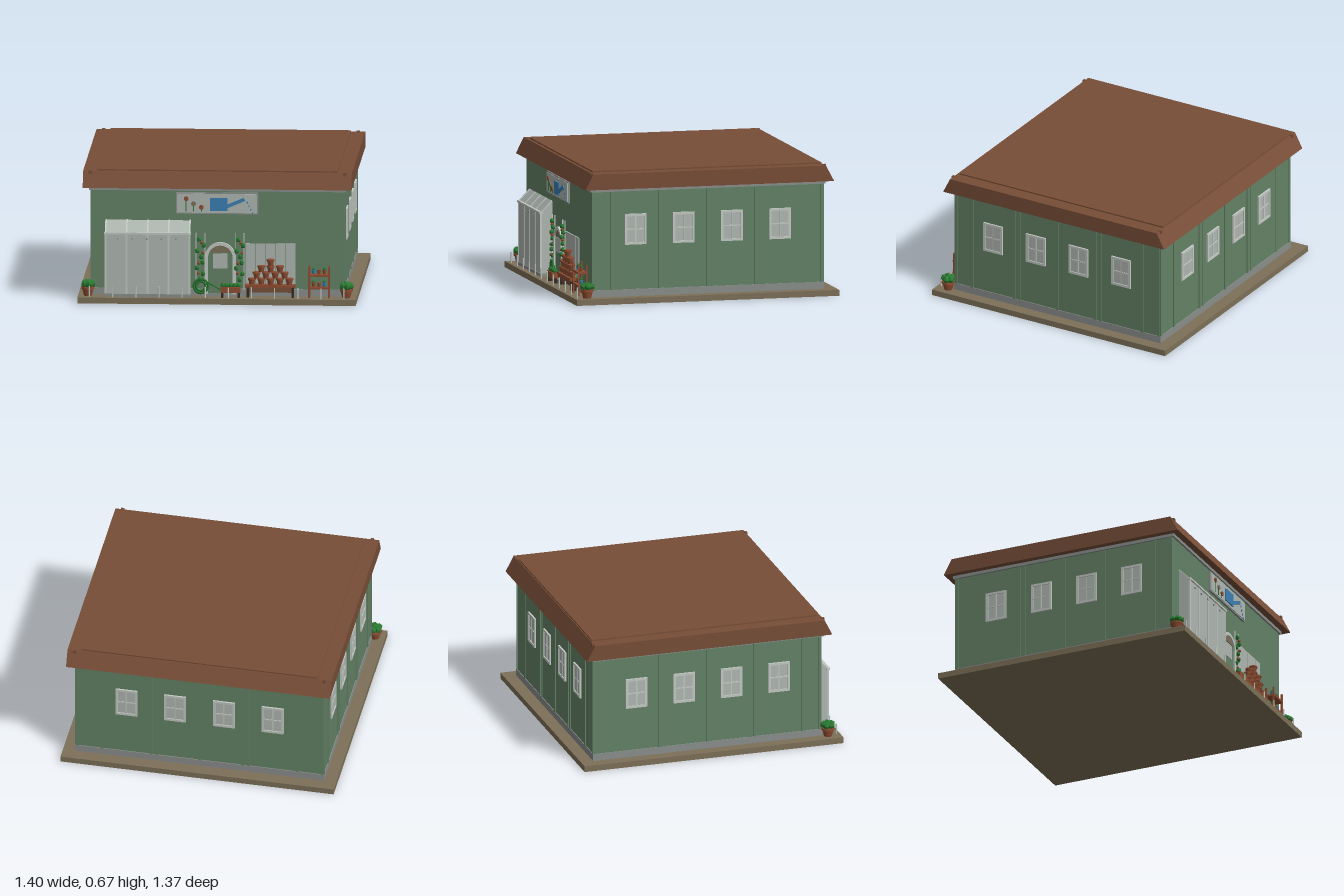
import * as THREE from 'three';

const mat = (name, color, side = THREE.FrontSide) => {
  const m = new THREE.MeshStandardMaterial({ color, side });
  m.name = name;
  return m;
};

export function createModel() {
  const root = new THREE.Group();
  root.name = 'gardenShop';
  const green = mat('wallGreen', 0x648266);
  const brown = mat('roofBrown', 0x784e38);
  const tan = mat('pavingTan', 0x7d7058);
  const pale = mat('paleGlass', 0xb0b8b2);
  const white = mat('whiteTrim', 0xc4cac4);
  const grey = mat('plinthGrey', 0x8a8f8c);
  const leaf = mat('leafGreen', 0x2a7a32);
  const clay = mat('terracotta', 0x8f4e32);
  const blue = mat('canBlue', 0x3a80b4);
  const dark = mat('darkBrown', 0x3a2a20);

  const group = (name, parent = root) => {
    const g = new THREE.Group();
    g.name = name;
    parent.add(g);
    return g;
  };
  const add = (parent, name, geo, m, x = 0, y = 0, z = 0) => {
    const mesh = new THREE.Mesh(geo, m);
    mesh.name = name;
    mesh.position.set(x, y, z);
    parent.add(mesh);
    return mesh;
  };
  // Box given by its limits on each axis
  const box = (parent, name, m, x0, x1, y0, y1, z0, z1) =>
    add(parent, name, new THREE.BoxGeometry(x1 - x0, y1 - y0, z1 - z0), m,
      (x0 + x1) / 2, (y0 + y1) / 2, (z0 + z1) / 2);
  // Extruded profile of [z, y] points running along x
  const prism = (parent, name, m, pts, x0, x1) => {
    const shape = new THREE.Shape(pts.map(([z, y]) => new THREE.Vector2(-z, y)));
    const geo = new THREE.ExtrudeGeometry(shape, { depth: x1 - x0, bevelEnabled: false });
    geo.rotateY(Math.PI / 2);
    return add(parent, name, geo, m, x0, 0, 0);
  };
  const pot = (parent, x, y, z, r, h, m = clay) => {
    const g = group('pot', parent);
    add(g, 'potBody', new THREE.CylinderGeometry(r * 0.85, r * 0.62, h * 0.75, 10), m, x, y + h * 0.375, z);
    add(g, 'potRim', new THREE.CylinderGeometry(r, r, h * 0.25, 10), m, x, y + h * 0.875, z);
    return g;
  };
  const tuft = (parent, x, y, z, r, sy = 1) => {
    const t = add(parent, 'leaves', new THREE.IcosahedronGeometry(r, 0), leaf, x, y, z);
    t.scale.y = sy;
    return t;
  };

  // Slab, walls and plinth
  box(root, 'paving', tan, -0.7, 0.7, 0, 0.03, -0.668, 0.697);
  box(root, 'walls', green, -0.635, 0.635, 0.03, 0.58, -0.6, 0.6);
  box(root, 'plinth', grey, -0.639, 0.639, 0.03, 0.066, -0.604, 0.604);
  box(root, 'eavesTrim', grey, -0.645, 0.645, 0.564, 0.58, -0.61, 0.61);

  // Roof with sloped front and back
  prism(root, 'roof', brown, [[0.645, 0.58], [0.605, 0.66], [-0.605, 0.66], [-0.648, 0.58]], -0.676, 0.676);
  box(root, 'roofDeck', brown, -0.605, 0.605, 0.66, 0.667, -0.6, 0.59);
  for (const x of [-0.64, 0.64]) for (const z of [-0.605, 0.605]) {
    box(root, 'roofBracket', brown, x - 0.008, x + 0.008, 0.645, 0.663, z - 0.008, z + 0.008);
  }

  // Windows and battens, built facing +z and turned onto each wall
  const addWall = (name, angle, distance, span) => {
    const wall = group(name);
    wall.rotation.y = angle;
    for (const u of [-0.375, -0.125, 0.125, 0.375]) {
      const w = group('window', wall);
      w.position.set(u, 0.37, distance);
      box(w, 'windowPane', pale, -0.05, 0.05, -0.072, 0.072, 0, 0.004);
      for (const s of [-1, 1]) {
        box(w, 'windowJamb', white, s * 0.05 - 0.006, s * 0.05 + 0.006, -0.078, 0.078, 0, 0.009);
        box(w, 'windowRail', white, -0.05, 0.05, s * 0.072 - 0.006, s * 0.072 + 0.006, 0, 0.009);
      }
      box(w, 'windowBar', white, -0.003, 0.003, -0.07, 0.07, 0, 0.007);
      box(w, 'windowBar', white, -0.05, 0.05, -0.003, 0.003, 0, 0.007);
    }
    for (const u of [-span, -0.5, -0.25, -0.22, 0, 0.22, 0.25, 0.5, span]) {
      box(wall, 'batten', green, u - 0.007, u + 0.007, 0.066, 0.565, distance, distance + 0.005);
    }
  };
  addWall('rightWall', Math.PI / 2, 0.635, 0.592);
  addWall('leftWall', -Math.PI / 2, 0.635, 0.592);
  addWall('backWall', Math.PI, 0.6, 0.627);

  // Lean-to greenhouse
  const house = group('greenhouse');
  prism(house, 'greenhouseGlass', pale,
    [[0.6, 0.035], [0.66, 0.035], [0.66, 0.353], [0.6, 0.412]], -0.562, -0.137);
  box(house, 'greenhouseSill', grey, -0.566, -0.133, 0.03, 0.045, 0.6, 0.664);
  box(house, 'greenhouseGutter', white, -0.568, -0.131, 0.348, 0.358, 0.65, 0.668);
  for (let i = 0; i <= 4; i++) {
    const x = -0.56 + i * 0.1056;
    box(house, 'greenhousePost', white, x - 0.004, x + 0.004, 0.04, 0.352, 0.655, 0.664);
    prism(house, 'greenhouseRafter', white,
      [[0.66, 0.35], [0.664, 0.354], [0.604, 0.416], [0.6, 0.41]], x - 0.004, x + 0.004);
  }
  for (let i = 0; i < 5; i++) box(house, 'hook', grey, -0.503 + i * 0.0735, -0.496 + i * 0.0735, 0.322, 0.33, 0.66, 0.665);

  // Hanging sign with flowers and a watering can
  const sign = group('sign');
  box(sign, 'signFrame', grey, -0.208, 0.206, 0.447, 0.556, 0.6, 0.61);
  box(sign, 'signBoard', pale, -0.202, 0.2, 0.453, 0.55, 0.61, 0.613);
  [[-0.157, 0.525, clay], [-0.12, 0.5, tan], [-0.08, 0.482, clay]].forEach(([x, y, m]) => {
    box(sign, 'flowerStem', leaf, x - 0.002, x + 0.002, 0.46, y, 0.613, 0.616);
    add(sign, 'flowerHead', new THREE.CylinderGeometry(0.012, 0.012, 0.006, 10).rotateX(Math.PI / 2), m, x, y, 0.617);
  });
  box(sign, 'canBody', blue, -0.036, 0.052, 0.465, 0.53, 0.613, 0.619);
  const spout = box(sign, 'canSpout', blue, 0.045, 0.14, 0.497, 0.514, 0.613, 0.618);
  spout.rotation.z = 0.4;
  for (let i = 0; i < 4; i++) box(sign, 'waterDrop', blue, 0.147 + i * 0.009, 0.153 + i * 0.009, 0.503 - i * 0.018, 0.512 - i * 0.018, 0.613, 0.617);

  // Arched door
  const door = group('door');
  door.position.set(0.015, 0, 0.6);
  const arch = (r, top) => {
    const s = new THREE.Shape();
    s.moveTo(-r, 0.035);
    s.lineTo(r, 0.035);
    s.lineTo(r, top);
    s.absarc(0, top, r, 0, Math.PI, false);
    s.closePath();
    return s;
  };
  const frame = arch(0.078, 0.225);
  frame.holes.push(arch(0.062, 0.225));
  const extrude = (s, depth) => new THREE.ExtrudeGeometry(s, { depth, bevelEnabled: false, curveSegments: 10 });
  add(door, 'doorFrame', extrude(frame, 0.016), white);
  add(door, 'doorLeaf', extrude(arch(0.062, 0.225), 0.007), green);
  const fan = new THREE.Shape();
  fan.absarc(0, 0, 0.056, 0.4, Math.PI - 0.4, false);
  add(door, 'doorFanlight', extrude(fan, 0.003), tan, 0, 0.23, 0.007);
  box(door, 'doorWindow', pale, -0.036, 0.036, 0.17, 0.245, 0.007, 0.011);
  box(door, 'doorStep', grey, -0.08, 0.08, 0.03, 0.042, 0, 0.03);

  // Trellises with climbing plants beside the door
  for (const x of [-0.085, 0.112]) {
    const vine = group('climbingPlant');
    for (const d of [-0.022, 0.022]) box(vine, 'trellisPost', white, x + d - 0.002, x + d + 0.002, 0.06, 0.35, 0.604, 0.61);
    for (let i = 0; i < 8; i++) {
      const dx = 0.018 * Math.sin(i * 2.3);
      tuft(vine, x + dx, 0.115 + i * 0.029, 0.614, 0.013, 1.1);
      if (i % 2) add(vine, 'blossom', new THREE.IcosahedronGeometry(0.009, 0), clay, x - dx * 0.8, 0.12 + i * 0.026, 0.618);
    }
  }

  // Coiled hose
  const hose = group('hose');
  for (const r of [0.024, 0.036]) add(hose, 'hoseCoil', new THREE.TorusGeometry(r, 0.006, 6, 20), leaf, -0.083, 0.08, 0.615);
  const path = new THREE.CatmullRomCurve3([[-0.06, 0.105, 0.617], [-0.02, 0.085, 0.625], [0.02, 0.065, 0.63]]
    .map(p => new THREE.Vector3(...p)));
  add(hose, 'hoseEnd', new THREE.TubeGeometry(path, 10, 0.004, 6), leaf);

  // Flower box
  const trough = group('flowerBox');
  box(trough, 'flowerBoxBody', clay, 0.02, 0.118, 0.055, 0.085, 0.635, 0.67);
  for (const x of [0.027, 0.11]) box(trough, 'flowerBoxLeg', dark, x - 0.005, x + 0.005, 0.03, 0.055, 0.64, 0.665);
  for (let i = 0; i < 5; i++) tuft(trough, 0.03 + i * 0.0195, 0.092, 0.652, 0.014);

  // Slatted panel and table with a pyramid of pots
  const display = group('potDisplay');
  for (let i = 0; i < 5; i++) box(display, 'panelBoard', pale, 0.141 + i * 0.051, 0.189 + i * 0.051, 0.09, 0.298, 0.6, 0.607);
  box(display, 'tableTop', clay, 0.14, 0.394, 0.08, 0.094, 0.607, 0.65);
  box(display, 'tableApron', brown, 0.155, 0.38, 0.055, 0.08, 0.612, 0.643);
  for (const x of [0.155, 0.38]) box(display, 'tableLeg', dark, x - 0.006, x + 0.006, 0.03, 0.08, 0.612, 0.645);
  for (let row = 0; row < 4; row++) {
    const n = row ? 5 - row - (row === 3 ? 1 : 0) : 5;
    for (let i = 0; i < n; i++) pot(display, 0.269 + (i - (n - 1) / 2) * 0.047, 0.094 + row * 0.032, 0.628, 0.021, 0.032);
  }

  // Small shelf unit
  const shelf = group('shelfUnit');
  for (const x of [0.463, 0.562]) for (const z of [0.61, 0.65]) box(shelf, 'shelfPost', clay, x - 0.004, x + 0.004, 0.03, 0.188, z - 0.004, z + 0.004);
  for (const y of [0.075, 0.14]) {
    box(shelf, 'shelfBoard', clay, 0.46, 0.566, y, y + 0.01, 0.606, 0.655);
    [0.486, 0.513, 0.54].forEach((x, i) => {
      pot(shelf, x, y + 0.01, 0.632, 0.011, 0.022, i === (y > 0.1 ? 0 : 2) ? blue : clay);
      if (i !== 1) tuft(shelf, x, y + 0.036, 0.632, 0.009);
    });
  }

  // Corner planters
  for (const x of [-0.65, 0.65]) {
    const p = group('cornerPlanter');
    pot(p, x, 0.03, 0.63, 0.034, 0.045);
    for (let i = 0; i < 5; i++) {
      const a = i * Math.PI * 0.4;
      tuft(p, x + 0.02 * Math.cos(a), 0.09, 0.63 + 0.02 * Math.sin(a), 0.02);
    }
    tuft(p, x, 0.096, 0.63, 0.02);
  }

  // Low posts along the front edge
  for (let i = 0; i < 12; i++) {
    add(root, 'edgePost', new THREE.CylinderGeometry(0.004, 0.004, 0.055, 6), white, -0.64 + i * 0.1164, 0.0575, 0.678);
  }
  return root;
}
